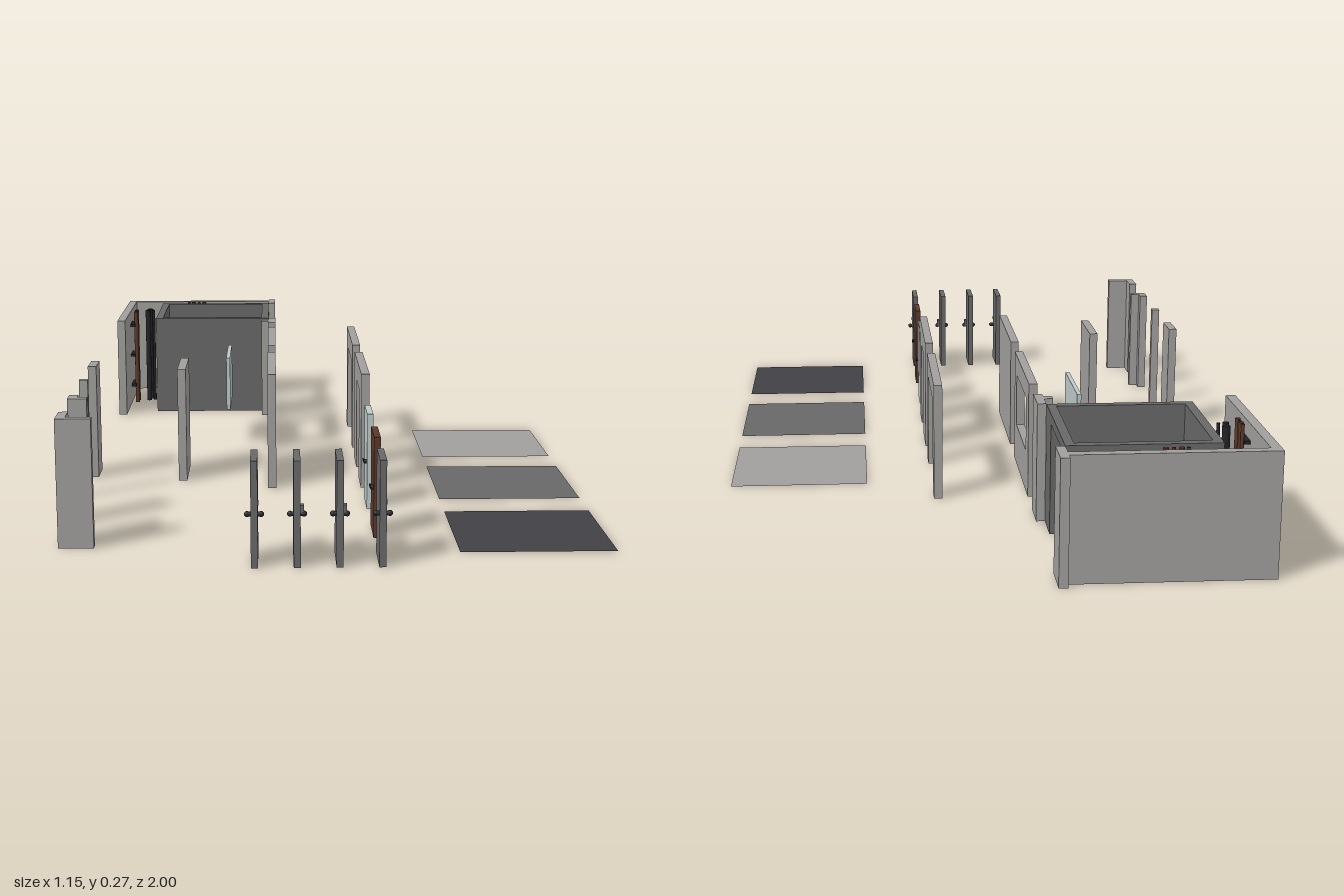
import * as THREE from 'three';

export function createModel() {
  const root = new THREE.Group();
  root.name = 'modularBuildingKit';

  const mat = (name, color, open) => {
    const m = new THREE.MeshStandardMaterial({ color });
    m.name = name;
    if (open) m.side = THREE.DoubleSide;
    return m;
  };
  const plaster = mat('lightPlaster', 0xa09f9c);
  const lightTile = mat('lightTile', 0xa09f9d, true);
  const steel = mat('greySteel', 0x686868, true);
  const darkTile = mat('darkTile', 0x414045, true);
  const wood = mat('brownWood', 0x5c3829);
  const glass = mat('paleGlass', 0xbccac9);
  const black = mat('blackMetal', 0x222326);

  const H = 0.273; // storey height
  const T = 0.02; // wall thickness

  const add = (name, geo, material, parent = root) => {
    const m = new THREE.Mesh(geo, material);
    m.name = name;
    parent.add(m);
    return m;
  };
  // Box from its limits
  const box = (name, material, x0, x1, y0, y1, z0, z1, parent) => {
    const g = new THREE.BoxGeometry(x1 - x0, y1 - y0, z1 - z0);
    g.translate((x0 + x1) / 2, (y0 + y1) / 2, (z0 + z1) / 2);
    return add(name, g, material, parent);
  };
  // Closed outline in the (z, y) plane, extruded along x from x0 to x0 + T
  const slab = (name, material, x0, outline, hole) => {
    const toPts = (a) => a.map(([z, y]) => new THREE.Vector2(z, y));
    const shape = new THREE.Shape(toPts(outline));
    if (hole) shape.holes.push(new THREE.Path(toPts(hole)));
    const g = new THREE.ExtrudeGeometry(shape, { depth: T, bevelEnabled: false });
    g.rotateY(-Math.PI / 2);
    g.translate(x0 + T, 0, 0);
    return add(name, g, material);
  };
  // Wall outline with an opening reaching the ground
  const archway = (z0, z1, a, b, h) =>
    [[z0, 0], [a, 0], [a, h], [b, h], [b, 0], [z1, 0], [z1, H], [z0, H]];

  // Floor tiles
  [['lightFloor', lightTile, -0.13], ['greyFloor', steel, 0.303], ['darkFloor', darkTile, 0.738]]
    .forEach(([name, m, z]) => {
      const g = new THREE.PlaneGeometry(0.325, 0.325);
      g.rotateX(-Math.PI / 2);
      g.translate(0.4125, 0.001, z);
      add(name, g, m);
    });

  // Full-length walls: plain, doorway, window and wide opening
  box('plainWall', plaster, -0.145, -0.125, 0, H, 0.02, 0.345);
  slab('doorwayWall', plaster, 0.075, archway(0.02, 0.345, 0.132, 0.245, 0.22));
  slab('windowWall', plaster, -0.145,
    [[-0.413, 0], [-0.088, 0], [-0.088, H], [-0.413, H]],
    [[-0.358, 0.098], [-0.358, 0.225], [-0.137, 0.225], [-0.137, 0.098]]);
  slab('wideOpeningWall', plaster, 0.075, archway(-0.413, -0.088, -0.358, -0.137, 0.225));
  box('windowPane', glass, -0.255, -0.245, 0.093, 0.232, -0.36, -0.142);

  // Short walls and corner pieces
  box('halfWall', plaster, -0.36, -0.34, 0, H, 0.1, 0.265);
  box('quarterWall', plaster, -0.577, -0.557, 0, H, 0.14, 0.222);
  box('narrowPost', plaster, -0.577, -0.557, 0, H, 0.39, 0.407);
  const corner = (name, z0, z1, reach) => {
    const x = -0.577;
    const s = new THREE.Shape([[x, -z0], [x, -z1], [reach, -z1], [reach, -z1 + T],
      [x + T, -z1 + T], [x + T, -z0]].map((p) => new THREE.Vector2(...p)));
    const g = new THREE.ExtrudeGeometry(s, { depth: H, bevelEnabled: false });
    g.rotateX(-Math.PI / 2);
    add(name, g, plaster);
  };
  corner('smallCorner', 0.585, 0.63, -0.535);
  corner('largeCorner', 0.77, 0.845, -0.503);

  // Doors with a handle on both faces
  const door = (name, m, x, z0, lever) => {
    const g = new THREE.Group();
    g.name = name;
    root.add(g);
    box('doorLeaf', m, x - 0.007, x + 0.007, 0, 0.218, z0, z0 + 0.105, g);
    for (const s of [-1, 1]) {
      const rose = new THREE.CylinderGeometry(0.005, 0.005, 0.008, 12);
      rose.rotateZ(Math.PI / 2);
      rose.translate(x + s * 0.009, 0.108, z0 + 0.093);
      add('handleRose', rose, black, g);
      if (lever) {
        const cx = x + s * 0.013;
        box('handleLever', black, cx - 0.002, cx + 0.002, 0.106, 0.11, z0 + 0.072, z0 + 0.097, g);
      } else {
        const knob = new THREE.SphereGeometry(0.006, 12, 8);
        knob.translate(x + s * 0.014, 0.108, z0 + 0.093);
        add('handleKnob', knob, black, g);
      }
    }
    return g;
  };
  door('glassDoor', glass, 0.085, 0.44, true);
  door('woodDoor', wood, 0.086, 0.68, true);
  [-0.17, -0.085, 0, 0.085].forEach((x, i) => {
    const d = door('steelDoor' + (i + 1), steel, x, 0.893, false);
    // Lock plate, larger on the two middle doors
    const big = i === 1 || i === 2;
    box('lockPlate', steel, x + 0.007, x + (big ? 0.014 : 0.009),
      big ? 0.105 : 0.126, big ? 0.126 : 0.134, 0.975, 0.99, d);
  });

  // Open-topped steel room with a doorway on its left side
  const rx0 = -0.47, rx1 = -0.145, rz0 = -0.916, rz1 = -0.592;
  box('roomSideWall', steel, rx0, rx0 + T, 0, H, rz0, rz1);
  box('roomFrontWall', steel, rx0 + T, rx1 - T, 0, H, rz1 - T, rz1);
  box('roomBackWall', steel, rx0 + T, rx1 - T, 0, H, rz0, rz0 + T);
  slab('roomDoorwayWall', steel, rx1 - T, archway(rz0, rz1, -0.83, -0.677, 0.25));
  box('roomFloor', steel, rx0 + T, rx1 - T, 0, 0.003, rz0 + T, rz1 - T);

  // Outer walls around the room
  box('outerSideWall', plaster, -0.577, -0.555, 0, H, -0.98, -0.545);
  box('outerBackWall', plaster, -0.555, -0.145, 0, H, -0.98, -0.957);
  box('backEndPost', plaster, -0.145, -0.125, 0, H, -1, -0.916);
  box('frontEndPost', plaster, -0.145, -0.125, 0, H, -0.59, -0.505);
  box('frontEndStub', plaster, -0.165, -0.145, 0, H, -0.548, -0.523);

  // Vertical pipes
  const pipe = (name, m, x, z, r) => {
    const g = new THREE.CylinderGeometry(r, r, H, 12);
    g.translate(x, H / 2, z);
    add(name, g, m);
  };
  pipe('thickPipe', black, -0.501, -0.793, 0.009);
  pipe('mediumPipe', black, -0.506, -0.765, 0.007);
  pipe('thinPipe', black, -0.489, -0.77, 0.004);

  // Brown pipe bundles fixed to the outer walls
  [-0.026, -0.012, 0.004, 0.02].forEach((d, i) => {
    const r = i % 2 ? 0.006 : 0.004;
    pipe('sideWallPipe', wood, -0.539, -0.755 + d, r);
    pipe('backWallPipe', wood, -0.365 + d, -0.942, r);
  });
  for (const y of [0.05, 0.14, 0.23]) {
    box('sidePipeBracket', black, -0.555, -0.541, y, y + 0.008, -0.79, -0.72);
    box('backPipeBracket', black, -0.4, -0.33, y, y + 0.008, -0.957, -0.944);
  }
  return root;
}
